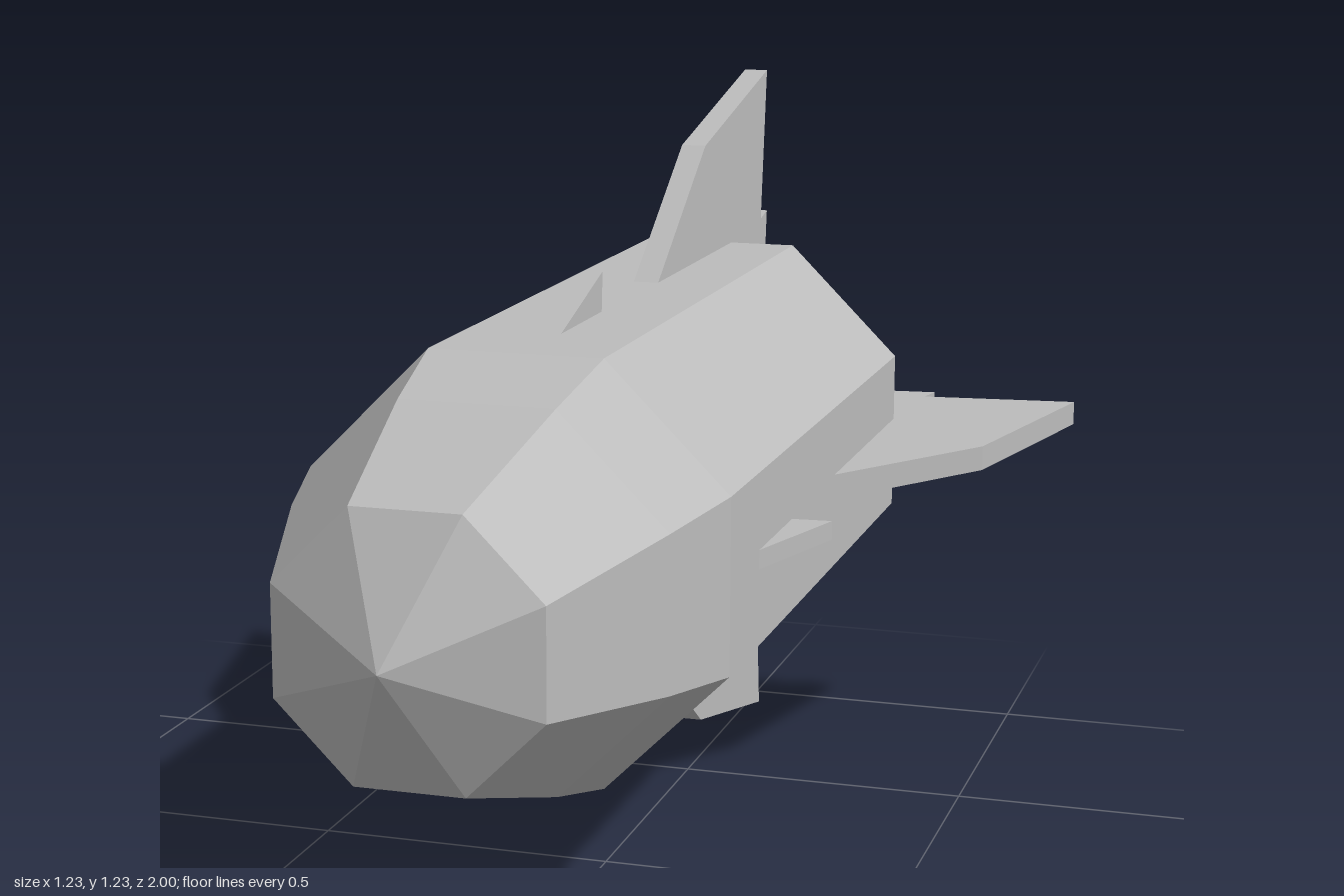
import * as THREE from 'three';

const AXIS_Y = 0.616;

// Flat plate from [z, radius] points, centred on x = 0
function plateGeometry(points, thickness) {
  const shape = new THREE.Shape(points.map(([z, r]) => new THREE.Vector2(z, r)));
  const geometry = new THREE.ExtrudeGeometry(shape, { depth: thickness, bevelEnabled: false });
  geometry.translate(0, 0, -thickness / 2);
  geometry.rotateY(-Math.PI / 2);
  return geometry;
}

export function createModel() {
  const model = new THREE.Group();
  model.name = 'rocket';
  const grey = new THREE.MeshStandardMaterial({ color: 0xbbbbbb, flatShading: true });
  grey.name = 'grey';

  // Octagonal hull: [flat-to-axis distance, z], from nozzle recess to nose tip
  const profile = [
    [0, -0.86], [0.08, -0.86], [0.08, -1], [0.195, -1], [0.327, -0.69],
    [0.327, 0.44], [0.285, 0.61], [0.197, 0.89], [0, 1],
  ];
  const corner = 1 / Math.cos(Math.PI / 8);
  const hullGeometry = new THREE.LatheGeometry(
    profile.map(([r, z]) => new THREE.Vector2(r * corner, z)), 8, Math.PI / 8);
  hullGeometry.rotateX(Math.PI / 2);
  const hull = new THREE.Mesh(hullGeometry, grey);
  hull.name = 'hull';
  hull.position.y = AXIS_Y;
  model.add(hull);

  // Large notched tail fins and small forward fins, four of each
  const tailFin = plateGeometry([
    [-0.22, 0.325], [-0.51, 0.522], [-0.935, 0.615], [-0.902, 0.341],
    [-0.947, 0.351], [-0.93, 0.2], [-0.22, 0.2],
  ], 0.042);
  const frontFin = plateGeometry([
    [0.28, 0.325], [0.065, 0.39], [0.072, 0.3], [0.28, 0.3],
  ], 0.03);
  const sides = ['top', 'left', 'bottom', 'right'];
  sides.forEach((side, i) => {
    for (const [name, geometry] of [['TailFin', tailFin], ['FrontFin', frontFin]]) {
      const fin = new THREE.Mesh(geometry, grey);
      fin.name = side + name;
      fin.position.y = AXIS_Y;
      fin.rotation.z = -i * Math.PI / 2;
      model.add(fin);
    }
  });

  return model;
}
